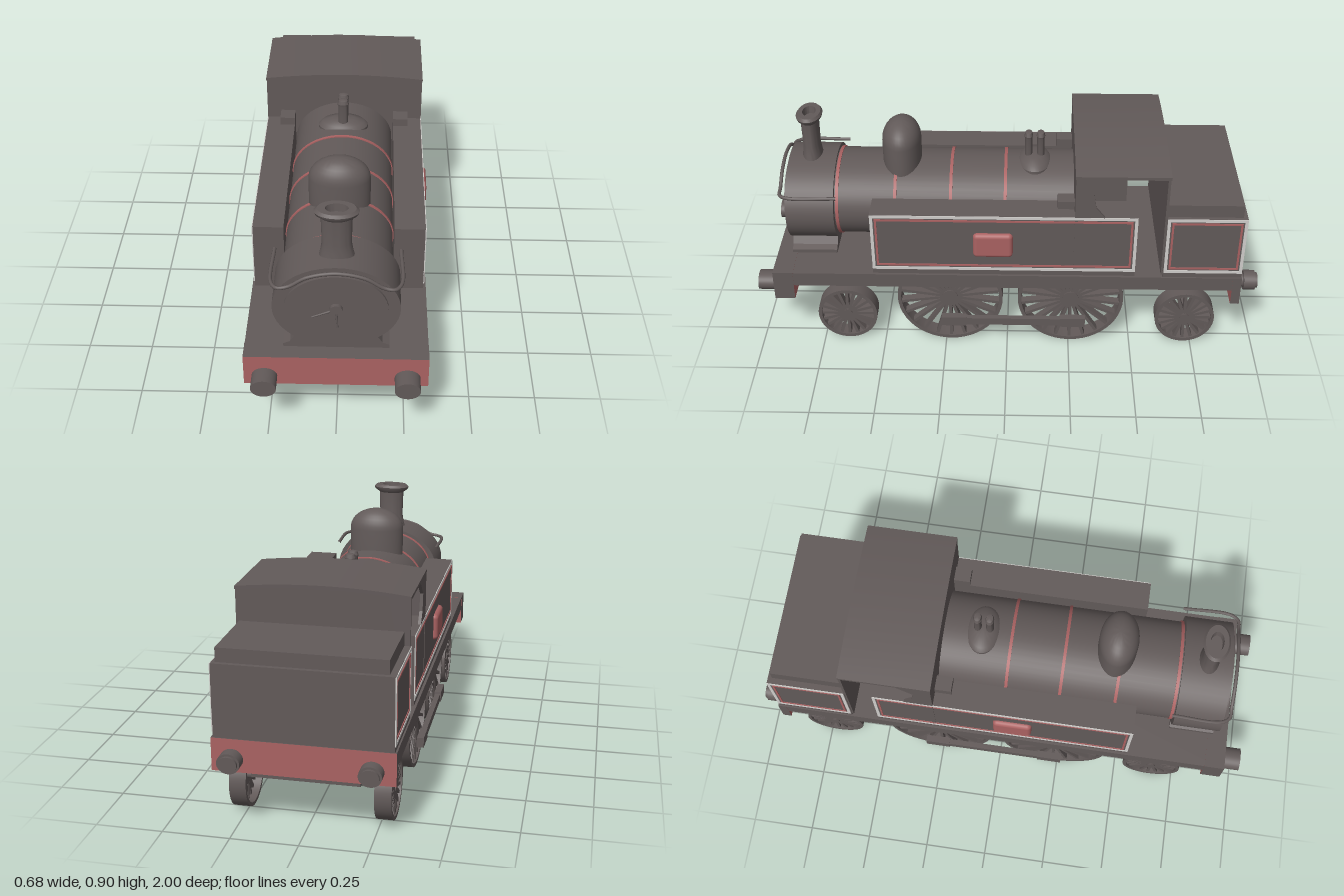
import * as THREE from 'three';
import { toCreasedNormals } from 'three/addons/utils/BufferGeometryUtils.js';
import { RoundedBoxGeometry } from 'three/addons/geometries/RoundedBoxGeometry.js';

const mat = (name, color) => Object.assign(new THREE.MeshStandardMaterial({ color }), { name });

export function createModel() {
  const body = mat('charcoal', 0x625a59);
  const red = mat('dull red', 0xaa6262);
  const pale = mat('pale lining', 0xd0cecb);
  const model = new THREE.Group();
  model.name = 'tankLocomotive';

  const add = (name, geo, m = body, x = 0, y = 0, z = 0, parent = model) => {
    const mesh = new THREE.Mesh(geo, m);
    mesh.name = name;
    mesh.position.set(x, y, z);
    parent.add(mesh);
    return mesh;
  };
  // box given by its limits
  const block = (name, x0, x1, y0, y1, z0, z1, m = body) =>
    add(name, new THREE.BoxGeometry(x1 - x0, y1 - y0, z1 - z0), m, (x0 + x1) / 2, (y0 + y1) / 2, (z0 + z1) / 2);
  // elliptical cylinder lying along z
  const barrel = (name, rx, ry, z0, z1, m = body, x = 0, y = 0.537) =>
    add(name, new THREE.CylinderGeometry(1, 1, 1, 48).rotateX(Math.PI / 2).scale(rx, ry, z1 - z0), m, x, y, (z0 + z1) / 2);
  // upright turned part, squashed along z
  const turned = (name, pts, squash, z) =>
    add(name, toCreasedNormals(new THREE.LatheGeometry(pts.map(p => new THREE.Vector2(...p)), 36), 0.6).scale(1, 1, squash), body, 0, 0, z);
  const polygon = pts => new THREE.Shape(pts.map(p => new THREE.Vector2(...p)));
  const extrude = (shape, depth, curveSegments = 16) =>
    new THREE.ExtrudeGeometry(shape, { depth, bevelEnabled: false, curveSegments });
  const rod = (name, r, len, x, y, z, parent = model) =>
    add(name, new THREE.CylinderGeometry(r, r, len, 16).rotateZ(Math.PI / 2), body, x, y, z, parent);

  // footplate, frame and buffer beams
  block('footplate', -0.33, 0.33, 0.29, 0.35, -0.915, 0.92);
  block('frame', -0.198, 0.198, 0.195, 0.29, -0.89, 0.845);
  const beamMats = [body, body, body, red, red, red];
  block('frontBeam', -0.331, 0.331, 0.225, 0.351, 0.85, 0.93, beamMats);
  block('rearBeam', -0.331, 0.331, 0.225, 0.351, -0.925, -0.89, beamMats);

  for (const s of [-1, 1]) {
    barrel('frontBuffer', 0.046, 0.036, 0.93, 1, body, s * 0.256, 0.263);
    barrel('rearBufferStem', 0.028, 0.028, -0.96, -0.925, body, s * 0.25, 0.285);
    barrel('rearBufferHead', 0.042, 0.038, -0.99, -0.945, body, s * 0.25, 0.285);
    barrel('rearBufferFace', 0.034, 0.03, -1, -0.99, body, s * 0.25, 0.285);
  }

  // spoked wheels
  const wheel = (name, s, R, z, spokes) => {
    const g = new THREE.Group();
    g.name = name;
    g.position.set(s * 0.267, R + 0.002, z);
    const ring = new THREE.Shape().absarc(0, 0, R, 0, Math.PI * 2);
    ring.holes.push(new THREE.Path().absarc(0, 0, R - 0.014, 0, Math.PI * 2, true));
    const tyre = toCreasedNormals(extrude(ring, 0.063, 24), 0.6);
    add('tyre', tyre.translate(0, 0, -0.0315).rotateY(Math.PI / 2), body, 0, 0, 0, g);
    rod('hub', R * 0.15, 0.06, 0, 0, 0, g);
    const len = R - 0.01;
    for (let i = 0; i < spokes; i++) {
      const spoke = add('spoke', new THREE.BoxGeometry(0.032, len, 0.012).translate(0, len / 2, 0), body, s * 0.01, 0, 0, g);
      spoke.rotation.x = i / spokes * Math.PI * 2;
    }
    model.add(g);
  };
  const axles = [['leadingWheel', 0.12, 0.65, 20], ['drivingWheel', 0.212, 0.23, 22],
    ['drivingWheel', 0.212, -0.255, 22], ['trailingWheel', 0.12, -0.72, 20]];
  for (const [name, R, z, spokes] of axles) {
    wheel(name, 1, R, z, spokes);
    wheel(name, -1, R, z, spokes);
    rod('axle', 0.014, 0.59, 0, R + 0.01, z);
  }
  for (const s of [-1, 1]) {
    const x = s * 0.319;
    block('couplingRod', x - 0.011, x + 0.011, 0.1, 0.132, -0.3, 0.26);
    for (const z of [0.205, -0.275]) block('rodEnd', x - 0.014, x + 0.014, 0.096, 0.137, z - 0.04, z + 0.06);
  }

  // boiler, smokebox and red bands
  barrel('boiler', 0.2, 0.163, -0.28, 0.69);
  barrel('smokebox', 0.226, 0.176, 0.685, 0.875);
  for (const z of [0.01, 0.225, 0.445, 0.675]) barrel('boilerBand', 0.204, 0.167, z - 0.006, z + 0.006, red);
  const saddle = polygon([[-0.19, 0.35], [0.19, 0.35], [0.19, 0.365], [0.165, 0.375], [0.13, 0.43], [-0.13, 0.43], [-0.165, 0.375], [-0.19, 0.365]]);
  add('smokeboxSaddle', extrude(saddle, 0.18), body, 0, 0, 0.69);

  // smokebox door and its handles
  barrel('smokeboxDoor', 0.183, 0.14, 0.87, 0.885, body, 0, 0.54);
  barrel('doorBoss', 0.022, 0.018, 0.88, 0.9, body, 0, 0.546);
  for (const [dx, dy] of [[-0.085, -0.035], [0.005, -0.08]]) {
    const len = Math.hypot(dx, dy);
    const handle = add('doorHandle', new THREE.CylinderGeometry(0.005, 0.003, len, 8), body, dx / 2, 0.546 + dy / 2, 0.895);
    handle.rotation.z = Math.atan2(dy, dx) + Math.PI / 2;
  }

  // handrail wrapping round the smokebox
  const half = [[0.227, 0.637, 0.67], [0.227, 0.637, 0.86], [0.205, 0.637, 0.893], [0.165, 0.645, 0.895], [0.1, 0.685, 0.895]];
  const railPts = [...half, [0, 0.704, 0.895], ...half.slice().reverse().map(([x, y, z]) => [-x, y, z])];
  const rail = new THREE.CatmullRomCurve3(railPts.map(p => new THREE.Vector3(...p)), false, 'centripetal');
  add('handrail', new THREE.TubeGeometry(rail, 80, 0.007, 8));

  // chimney, dome and safety valves
  turned('chimney', [[0.066, 0.69], [0.058, 0.725], [0.052, 0.76], [0.055, 0.865], [0.075, 0.88], [0.079, 0.89],
    [0.068, 0.9], [0.04, 0.9], [0.036, 0.87], [0, 0.87]], 0.65, 0.785);
  const dome = [[0.115, 0.64], [0.115, 0.785]];
  for (let i = 1; i <= 8; i++) {
    const a = i / 8 * Math.PI / 2;
    dome.push([0.115 * Math.cos(a), 0.785 + 0.085 * Math.sin(a)]);
  }
  turned('steamDome', dome, 0.67, 0.425);
  turned('valveBase', [[0.1, 0.66], [0.1, 0.69], [0.085, 0.706], [0.045, 0.718], [0, 0.72]], 0.67, -0.105);
  for (const z of [-0.08, -0.128])
    turned('safetyValve', [[0.02, 0.7], [0.02, 0.79], [0.023, 0.8], [0.018, 0.815], [0, 0.82]], 0.75, z);

  // rectangular outline lying on a side wall
  const outline = (name, s, x, z0, z1, y0, y1, t, m) => {
    const shape = polygon([[z0, y0], [z1, y0], [z1, y1], [z0, y1]]);
    shape.holes.push(polygon([[z0 + t, y0 + t], [z0 + t, y1 - t], [z1 - t, y1 - t], [z1 - t, y0 + t]]));
    add(name, extrude(shape, 0.004).rotateY(-Math.PI / 2), m, s > 0 ? x + 0.003 : -x + 0.001);
  };
  const lining = (s, x, z0, z1) => {
    outline('paleLining', s, x, z0, z1, 0.372, 0.626, 0.012, pale);
    outline('redLining', s, x, z0 + 0.018, z1 - 0.018, 0.39, 0.608, 0.008, red);
  };

  // side tanks with lining and plates, cab wings
  const wing = polygon([[-0.26, 0.62], [-0.26, 0.812], [-0.41, 0.812], [-0.385, 0.785], [-0.33, 0.735], [-0.34, 0.67], [-0.38, 0.62]].reverse());
  for (const s of [-1, 1]) {
    block('sideTank', s > 0 ? 0.205 : -0.32, s > 0 ? 0.32 : -0.205, 0.35, 0.627, -0.503, 0.53);
    lining(s, 0.32, -0.503, 0.53);
    lining(s, 0.324, -0.922, -0.615);
    add('sidePlate', new RoundedBoxGeometry(0.04, 0.108, 0.155, 4, 0.017), red, s * 0.318, 0.494, 0.055);
    block('tankFitting', s * 0.235 - 0.03, s * 0.235 + 0.03, 0.62, 0.66, -0.26, -0.195);
    add('cabWing', extrude(wing, 0.012).rotateY(-Math.PI / 2), body, s > 0 ? 0.322 : -0.31);
  }

  // cab: front sheet, rear sheet and arched roof
  const sheet = base => {
    const shape = new THREE.Shape();
    shape.moveTo(-0.322, base);
    shape.lineTo(0.322, base);
    shape.lineTo(0.322, 0.808);
    shape.quadraticCurveTo(0, 0.85, -0.322, 0.808);
    return shape;
  };
  add('cabFront', extrude(sheet(0.36), 0.012), body, 0, 0, -0.272);
  add('cabRear', extrude(sheet(0.36), 0.01), body, 0, 0, -0.615);
  const roof = new THREE.Shape();
  roof.moveTo(-0.324, 0.8);
  roof.quadraticCurveTo(0, 0.84, 0.324, 0.8);
  roof.lineTo(0.324, 0.812);
  roof.quadraticCurveTo(0, 0.852, -0.324, 0.812);
  add('cabRoof', toCreasedNormals(extrude(roof, 0.36), 0.5), body, 0, 0, -0.618);

  // coal bunker and its cover
  block('bunker', -0.324, 0.324, 0.35, 0.627, -0.922, -0.612);
  block('bunkerCover', -0.3, 0.31, 0.627, 0.68, -0.905, -0.615);

  return model;
}
